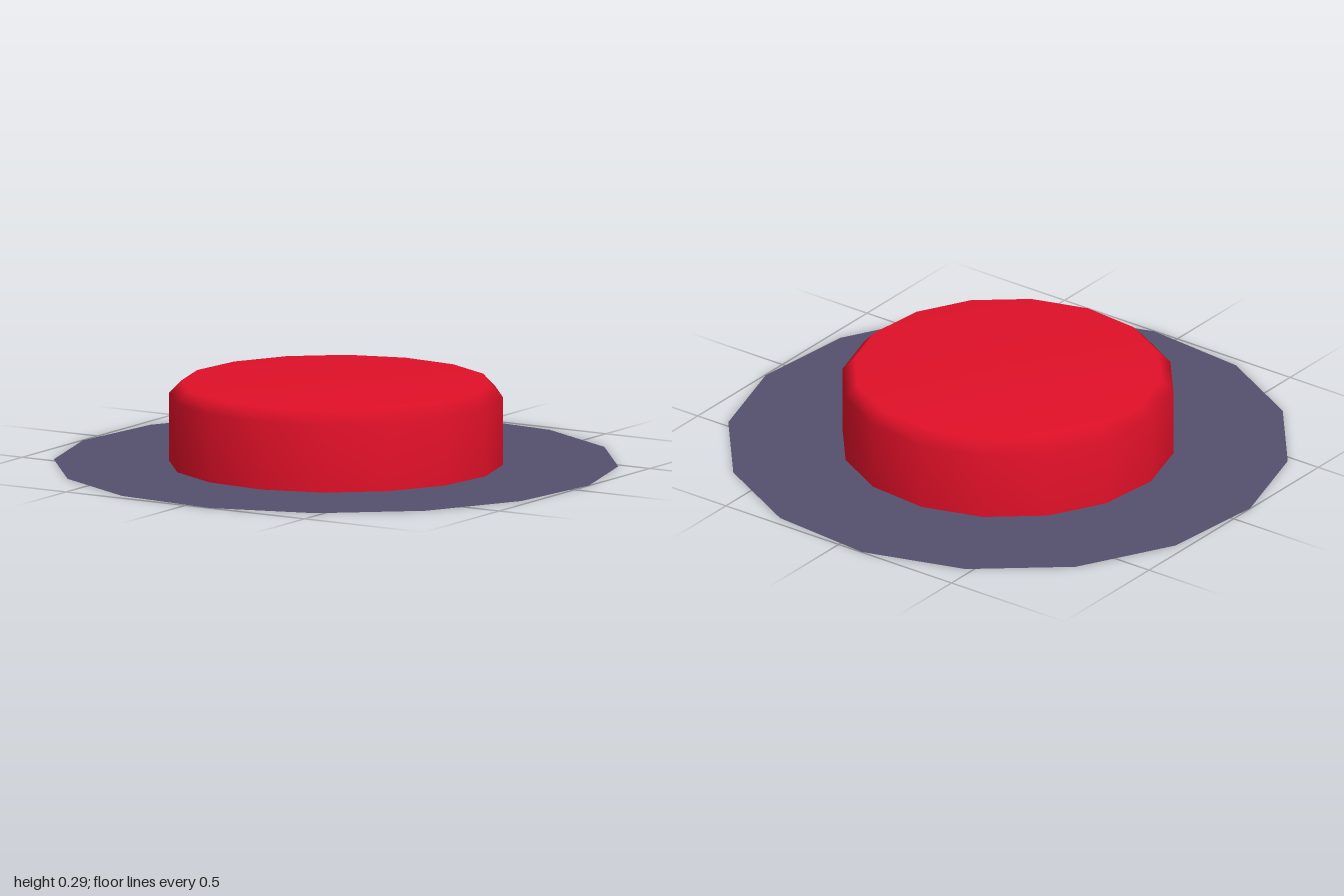
import * as THREE from 'three';

const SIDES = 16;
const TWIST = 0.1; // both parts share the same slight turn about y

export function createModel() {
  const group = new THREE.Group();

  // Paper-thin base disc
  const discGeometry = new THREE.CircleGeometry(1.003, SIDES, TWIST);
  discGeometry.rotateX(-Math.PI / 2);
  const disc = new THREE.Mesh(
    discGeometry,
    new THREE.MeshStandardMaterial({ color: 0x55506e, side: THREE.DoubleSide })
  );
  disc.name = 'baseDisc';
  group.add(disc);

  // Round button with a bevelled rim, open where it meets the disc
  const profile = [[0.593, 0], [0.593, 0.245], [0.55, 0.29], [0, 0.29]]
    .map(([r, y]) => new THREE.Vector2(r, y));
  const button = new THREE.Mesh(
    new THREE.LatheGeometry(profile, SIDES, TWIST),
    new THREE.MeshStandardMaterial({ color: 0xe01028 })
  );
  button.name = 'button';
  group.add(button);

  return group;
}
